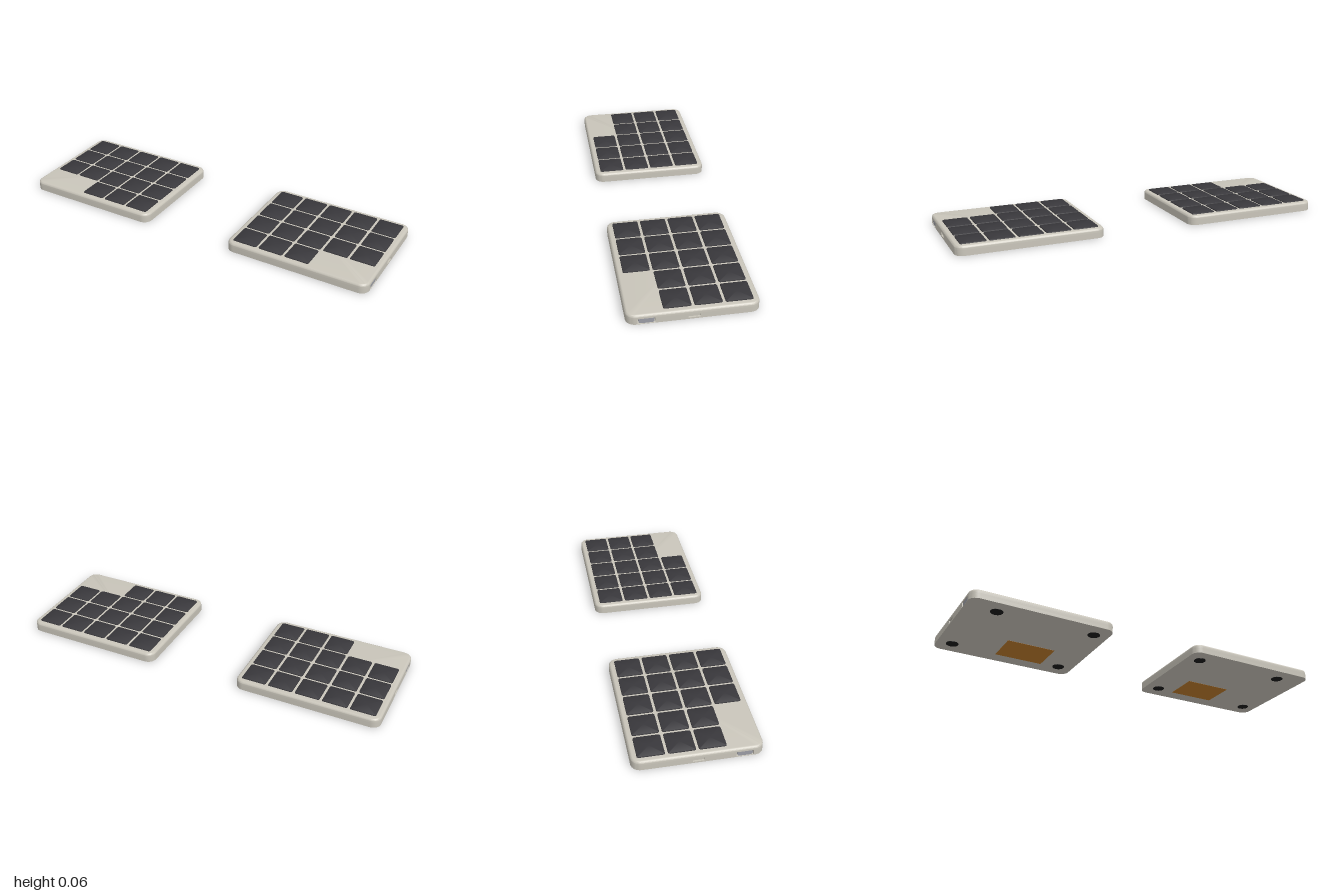
import * as THREE from 'three';
import { toCreasedNormals } from 'three/addons/utils/BufferGeometryUtils.js';

const mat = (color) => new THREE.MeshStandardMaterial({ color });
const MATS = {
  shell: mat(0xc9c5ba), key: mat(0x39383c), metal: mat(0x9b9da5),
  rubber: mat(0x1c1c1c), label: mat(0xc07d2c),
};
const W = 0.76, D = 0.618, R = 0.045, CENTRE = 0.62;
const PITCH = 0.1435, KEY = 0.13, NOTCH = 0.03;

// Rounded rectangle as [x, z] points; the closing edge is the +x side
function outline(w, d, r, seg) {
  const pts = [];
  for (let q = 0; q < 4; q++) {
    const cx = (w / 2 - r) * (q === 0 || q === 3 ? 1 : -1);
    const cz = (d / 2 - r) * (q < 2 ? 1 : -1);
    for (let i = 0; i <= seg; i++) {
      const a = (q + i / seg) * Math.PI / 2;
      pts.push([cx + r * Math.cos(a), cz + r * Math.sin(a)]);
    }
  }
  return pts;
}

// Closed solid through rounded rectangles given as [inset, y]
function loft(w, d, r, seg, levels) {
  const rings = levels.map(([inset, y]) =>
    outline(w - 2 * inset, d - 2 * inset, r - inset, seg).map(([x, z]) => [x, y, z]));
  const pos = [], n = rings[0].length, last = rings.length - 1;
  const tri = (...p) => p.forEach((v) => pos.push(...v));
  for (let i = 0; i < n; i++) {
    const j = (i + 1) % n;
    for (let k = 0; k < last; k++) {
      const lo = rings[k], hi = rings[k + 1];
      tri(lo[i], hi[i], lo[j]);
      tri(lo[j], hi[i], hi[j]);
    }
    tri([0, levels[0][1], 0], rings[0][i], rings[0][j]);
    tri([0, levels[last][1], 0], rings[last][j], rings[last][i]);
  }
  const g = new THREE.BufferGeometry();
  g.setAttribute('position', new THREE.Float32BufferAttribute(pos, 3));
  g.computeVertexNormals();
  return toCreasedNormals(g, 0.6);
}

// Slab of the case between two heights, with notches [z0, z1] in its outer side
function slab(side, y0, y1, notches) {
  const pts = outline(W, D, R, 8);
  for (const [a, b] of notches) {
    pts.push([W / 2, a], [W / 2 - NOTCH, a], [W / 2 - NOTCH, b], [W / 2, b]);
  }
  const shape = new THREE.Shape(pts.map(([x, z]) => new THREE.Vector2(x * side, -z)));
  const g = new THREE.ExtrudeGeometry(shape, { depth: y1 - y0, bevelEnabled: false });
  g.rotateX(-Math.PI / 2).translate(0, y0, 0);
  return toCreasedNormals(g, 0.6);
}

function createHalf(side) {
  const half = new THREE.Group();
  half.name = side > 0 ? 'leftHalf' : 'rightHalf';
  half.position.x = side * CENTRE;
  const add = (name, geometry, material, x = 0, y = 0, z = 0) => {
    const m = new THREE.Mesh(geometry, material);
    m.name = name;
    m.position.set(x * side, y, z);
    half.add(m);
    return m;
  };

  // Case: notched lower slabs, then a top with a rounded upper edge
  const port = [0.176, 0.257], toggle = [-0.028, 0.028];
  [[0.0015, 0.003, []], [0.003, 0.009, [port]], [0.009, 0.026, [toggle, port]], [0.026, 0.031, [port]]]
    .forEach(([y0, y1, cuts]) => add('caseBody', slab(side, y0, y1, cuts), MATS.shell));
  const levels = [[0, 0.031]];
  for (let i = 0; i <= 5; i++) {
    const a = (i / 5) * Math.PI / 2;
    levels.push([0.013 * (1 - Math.cos(a)), 0.0385 + 0.013 * Math.sin(a)]);
  }
  add('caseTop', loft(W, D, R, 8, levels), MATS.shell);

  // Socket and power switch set into the outer side
  const socket = loft(0.025, 0.073, 0.0115, 6, [[0, 0], [0, NOTCH - 0.003]]);
  socket.rotateZ(-side * Math.PI / 2);
  add('chargingSocket', socket, MATS.metal, W / 2 - NOTCH, 0.017, 0.2165);
  add('powerSwitch', new THREE.BoxGeometry(0.02, 0.016, 0.054), MATS.shell, W / 2 - 0.018, 0.0175, 0);

  // Keys: the front row only has the three inner columns
  const keyGeo = loft(KEY, KEY, 0.009, 3, [[0, 0.05], [0, 0.054], [0.001, 0.056], [0.003, 0.057]]);
  for (let row = 0; row < 4; row++) {
    for (let col = 0; col < (row === 3 ? 3 : 5); col++) {
      add('key', keyGeo, MATS.key, (col - 2) * PITCH, 0, (row - 1.5) * PITCH);
    }
  }

  // Underside: rubber feet (one shifted clear of the socket) and a label
  const footGeo = new THREE.CylinderGeometry(0.032, 0.032, 0.003, 32);
  [[0.3, -0.22], [-0.3, -0.22], [-0.3, 0.22], [0.22, 0.22]]
    .forEach(([x, z]) => add('foot', footGeo, MATS.rubber, x, 0.0015, z));
  add('undersideLabel', new THREE.BoxGeometry(0.26, 0.002, 0.19), MATS.label, -0.07, 0.0018, -0.138);
  return half;
}

export function createModel() {
  const model = new THREE.Group();
  model.name = 'splitKeyboard';
  model.add(createHalf(1), createHalf(-1));
  return model;
}
